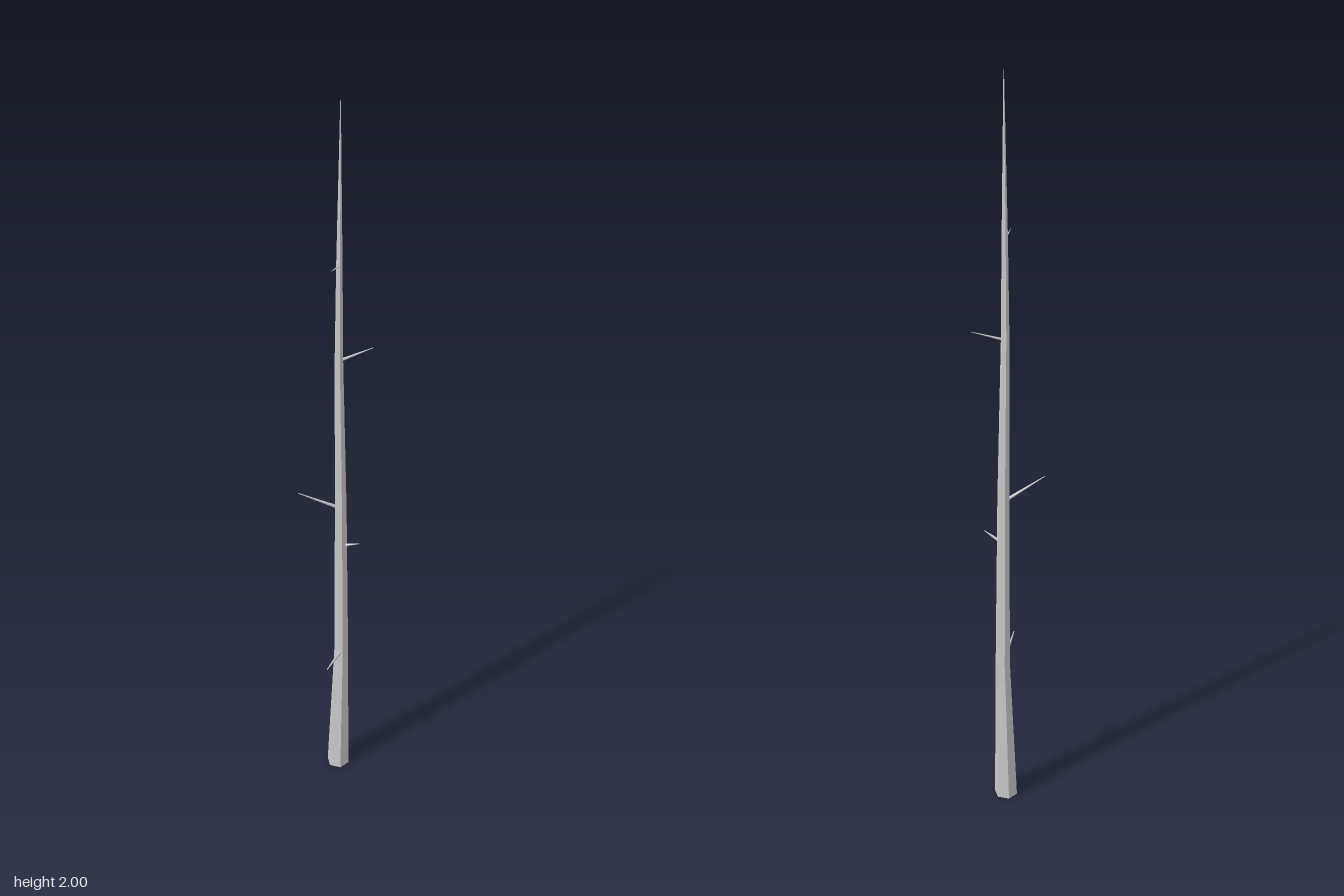
import * as THREE from 'three';

const SIDES = 6;

// Closed flat-shaded tube through sections [x, y, z, radius], rings kept horizontal
function trunkGeometry(sections) {
  const pos = [], idx = [];
  for (const [x, y, z, r] of sections)
    for (let i = 0; i < SIDES; i++) {
      const a = (i / SIDES) * Math.PI * 2;
      pos.push(x + r * Math.cos(a), y, z + r * Math.sin(a));
    }
  for (let s = 0; s < sections.length - 1; s++)
    for (let i = 0; i < SIDES; i++) {
      const a = s * SIDES + i, b = s * SIDES + (i + 1) % SIDES;
      idx.push(a, a + SIDES, b, b, a + SIDES, b + SIDES);
    }
  // end caps
  const top = (sections.length - 1) * SIDES;
  for (let i = 1; i < SIDES - 1; i++) {
    idx.push(0, i, i + 1);
    idx.push(top, top + i + 1, top + i);
  }
  const g = new THREE.BufferGeometry();
  g.setAttribute('position', new THREE.Float32BufferAttribute(pos, 3));
  g.setIndex(idx);
  g.computeVertexNormals();
  return g;
}

export function createModel() {
  const model = new THREE.Group();
  model.name = 'bareTree';
  const bark = new THREE.MeshStandardMaterial({ color: 0xcccccc, flatShading: true });

  // Slightly crooked tapering trunk
  const trunk = new THREE.Mesh(trunkGeometry([
    [0.015, 0, -0.01, 0.032],
    [0.022, 0.43, -0.005, 0.02],
    [0.016, 0.92, -0.002, 0.016],
    [0.011, 1.35, -0.004, 0.011],
    [0.011, 1.6, -0.003, 0.008],
    [0.014, 2, -0.003, 0.0008],
  ]), bark);
  trunk.name = 'trunk';
  model.add(trunk);

  // Short twigs: start point, tip, base radius
  const twigs = [
    [[0.018, 0.425, -0.002], [-0.086, 0.455, 0.058], 0.006],
    [[0.018, 0.79, -0.002], [0.035, 0.815, 0.05], 0.005],
    [[0.014, 0.912, -0.004], [-0.077, 0.97, -0.06], 0.005],
    [[0.011, 1.35, -0.004], [0.084, 1.378, 0.04], 0.004],
    [[0.011, 1.603, -0.003], [-0.035, 1.615, 0.022], 0.003],
  ];
  const up = new THREE.Vector3(0, 1, 0);
  twigs.forEach(([from, to, r], i) => {
    const a = new THREE.Vector3(...from), b = new THREE.Vector3(...to);
    const dir = b.clone().sub(a);
    const twig = new THREE.Mesh(new THREE.CylinderGeometry(r * 0.2, r, dir.length(), 5), bark);
    twig.position.copy(a).add(b).multiplyScalar(0.5);
    twig.quaternion.setFromUnitVectors(up, dir.normalize());
    twig.name = `twig${i + 1}`;
    model.add(twig);
  });
  return model;
}
